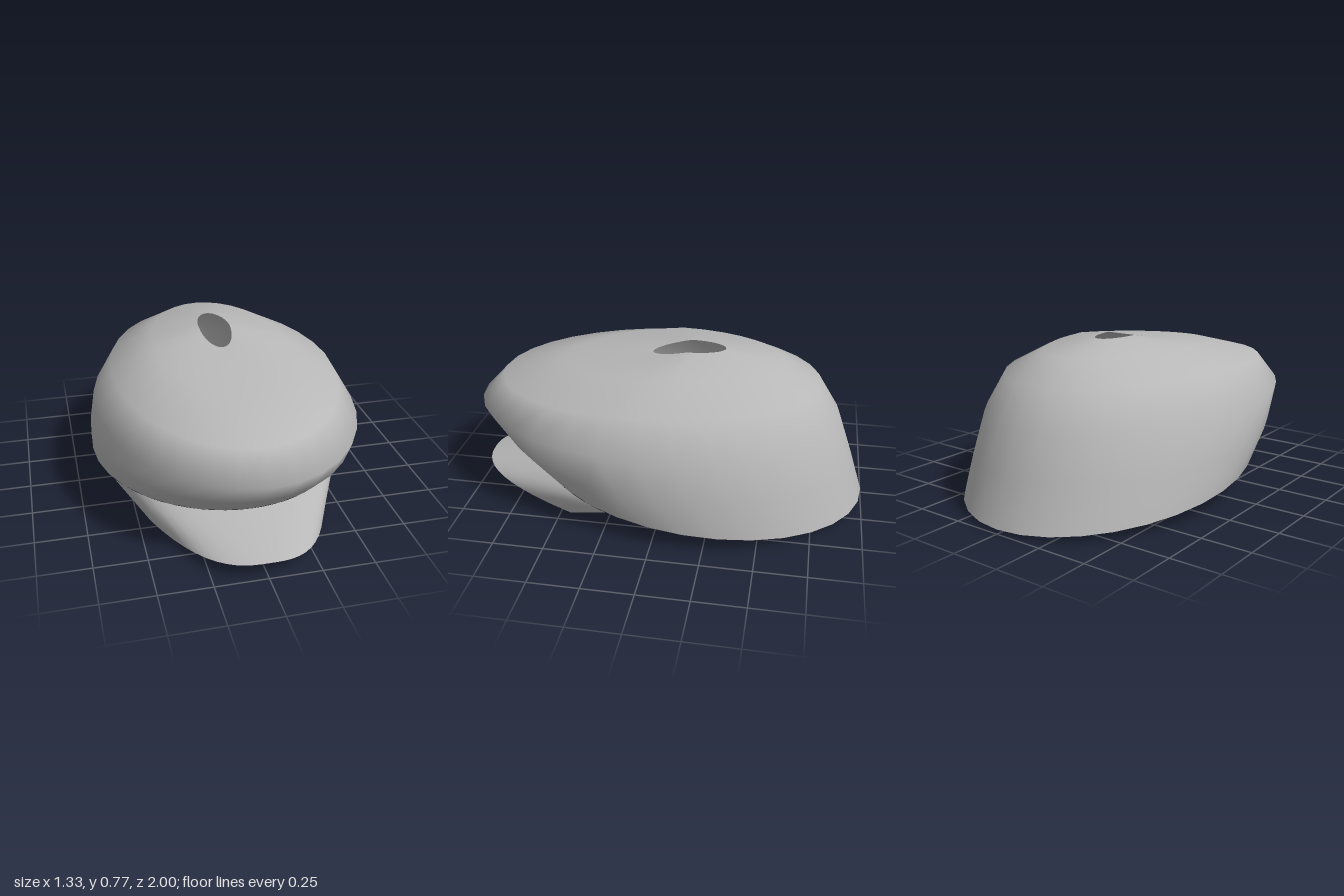
import * as THREE from 'three';

// Crown rings, top to bottom: half width, front z, back z, then height at front, side and back
const RINGS = [
  [0.08, 0.10, -0.27, 0.73, 0.77, 0.77],
  [0.33, 0.55, -0.56, 0.68, 0.73, 0.725],
  [0.55, 0.88, -0.75, 0.595, 0.63, 0.62],
  [0.645, 1.0, -0.86, 0.47, 0.465, 0.44],
  [0.665, 0.87, -0.93, 0.32, 0.26, 0.24],
  [0.655, 0.69, -1.0, 0.165, 0.093, 0.022],
];

// Point on a ring; angle 0 is the front, positive towards +x
function ringPoint([w, zf, zb, yf, ys, yb], a) {
  const c = Math.cos(a);
  const y = ys + ((c > 0 ? yf : yb) - ys) * Math.abs(c);
  return new THREE.Vector3(w * Math.sin(a), y, (zf + zb) / 2 + ((zf - zb) / 2) * c);
}

// Smooth surface through rows of points, optionally closed around
function loft(rows, closed) {
  const n = rows[0].length;
  const index = [];
  for (let r = 0; r < rows.length - 1; r++) {
    for (let i = 0; i < (closed ? n : n - 1); i++) {
      const j = (i + 1) % n;
      const a = r * n + i, b = r * n + j, c = a + n, d = b + n;
      index.push(a, c, b, b, c, d);
    }
  }
  const geometry = new THREE.BufferGeometry().setFromPoints(rows.flat());
  geometry.setIndex(index);
  geometry.computeVertexNormals();
  return geometry;
}

export function createModel() {
  const group = new THREE.Group();
  group.name = 'cap';
  const cloth = new THREE.MeshStandardMaterial({ color: 0xb8b8b8, side: THREE.DoubleSide });
  cloth.name = 'grey cloth';

  // Hollow crown, open at the top and at the head opening
  const segments = 32;
  const crownRows = RINGS.map((ring) =>
    Array.from({ length: segments }, (_, i) => ringPoint(ring, (i / segments) * Math.PI * 2)));
  const crown = new THREE.Mesh(loft(crownRows, true), cloth);
  crown.name = 'crown';

  // Visor, from the front of the head opening down to a curved outer edge
  const steps = 24, bands = 4;
  const rim = RINGS[RINGS.length - 1];
  const visorRows = Array.from({ length: bands + 1 }, (_, b) =>
    Array.from({ length: steps + 1 }, (_, i) => {
      const t = (i / steps) * 2 - 1;
      const inner = ringPoint(rim, t * 1.1);
      const outer = new THREE.Vector3(
        0.44 * t, 0.085 * (1 - t * t), 0.45 + 0.55 * (1 - Math.abs(t) ** 2.6));
      return inner.lerp(outer, b / bands);
    }));
  const visor = new THREE.Mesh(loft(visorRows, false), cloth);
  visor.name = 'visor';

  group.add(crown, visor);
  return group;
}
